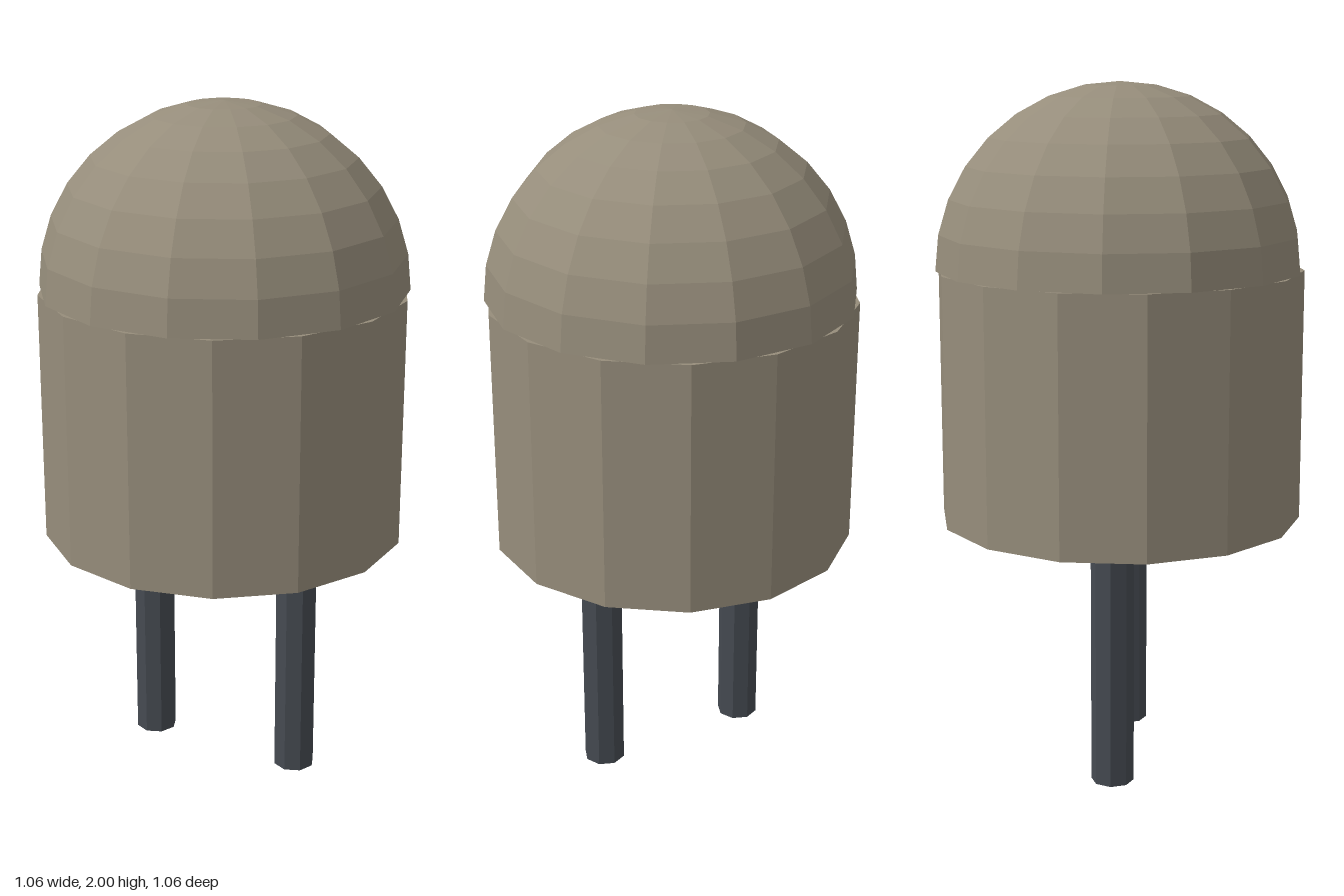
import * as THREE from 'three';

const SIDES = 14, RADIUS = 0.53, BASE = 0.74, SHOULDER = 1.47;
const PIN_RADIUS = 0.062, PIN_X = 0.245;

export function createModel() {
  const model = new THREE.Group();
  model.name = 'twoPinBulb';

  const bodyMaterial = new THREE.MeshStandardMaterial({
    color: 0x968d7b, flatShading: true, side: THREE.DoubleSide });
  const pinMaterial = new THREE.MeshStandardMaterial({ color: 0x454a51, flatShading: true });

  function add(name, geometry, material, x, y) {
    const mesh = new THREE.Mesh(geometry, material);
    mesh.name = name;
    mesh.position.set(x, y, 0);
    model.add(mesh);
  }

  // Faceted cylindrical body
  const height = SHOULDER - BASE;
  add('body', new THREE.CylinderGeometry(RADIUS, RADIUS, height, SIDES),
    bodyMaterial, 0, BASE + height / 2);

  // Half-sphere dome, its corners standing over the flats of the body
  add('dome', new THREE.SphereGeometry(RADIUS, SIDES, 8, 0, Math.PI * 2, 0, Math.PI / 2),
    bodyMaterial, 0, SHOULDER);

  // Pair of octagonal contact pins
  for (const side of [1, -1]) {
    add(side > 0 ? 'leftPin' : 'rightPin',
      new THREE.CylinderGeometry(PIN_RADIUS, PIN_RADIUS, BASE, 8),
      pinMaterial, side * PIN_X, BASE / 2);
  }

  return model;
}
